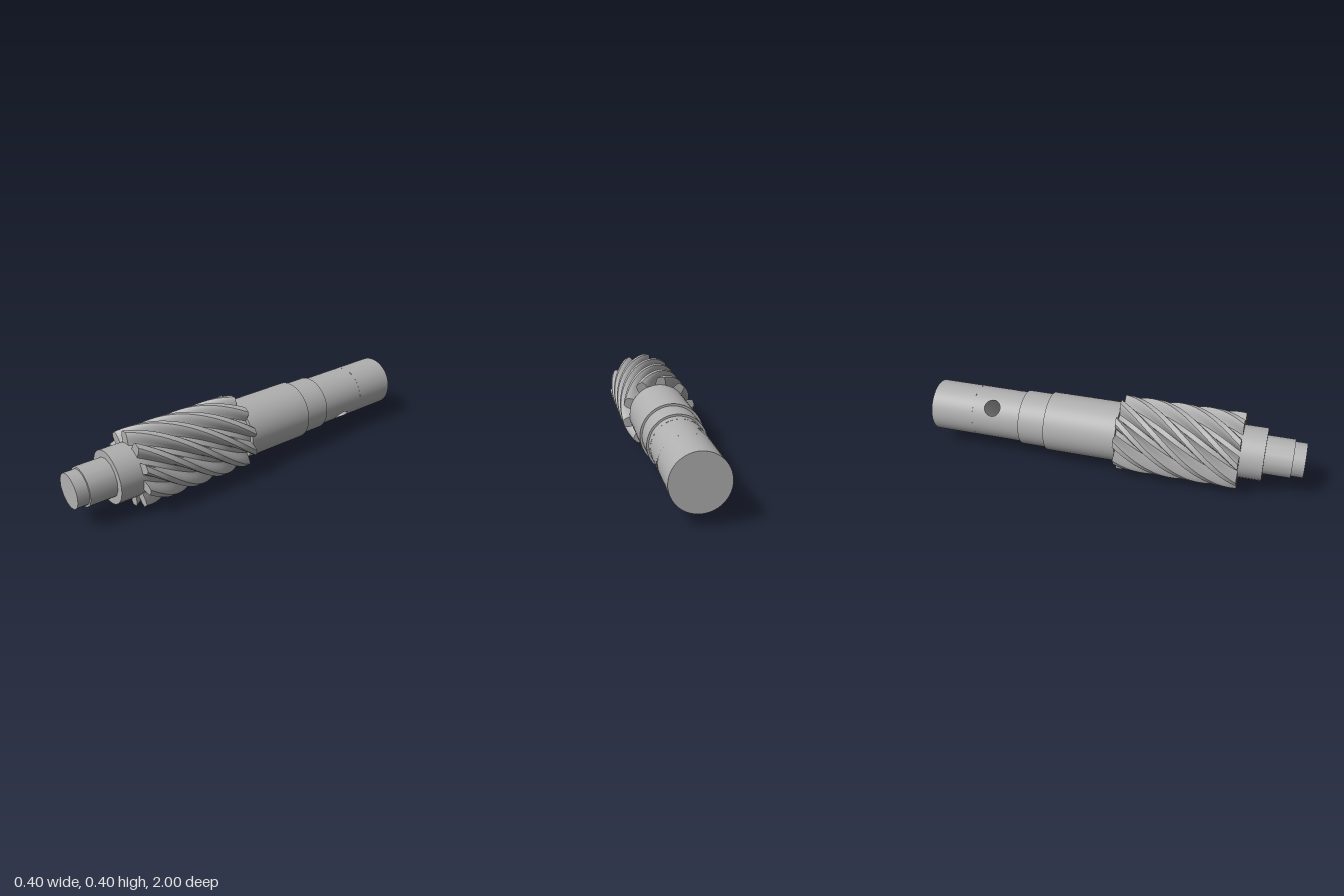
import * as THREE from 'three';
import { toCreasedNormals } from 'three/addons/utils/BufferGeometryUtils.js';

const AXIS_Y = 0.198;
const steel = new THREE.MeshStandardMaterial({ color: 0xb0b0b0, side: THREE.DoubleSide });
steel.name = 'steel grey';

// Straight round section of the shaft between two z positions
function section(name, radius, zFront, zBack, sides = 64, open = false) {
  const geo = new THREE.CylinderGeometry(radius, radius, zFront - zBack, sides, 1, open);
  geo.rotateX(Math.PI / 2);
  geo.translate(0, 0, (zFront + zBack) / 2);
  const mesh = new THREE.Mesh(geo, steel);
  mesh.name = name;
  return mesh;
}

// Helical gear: tooth outline extruded along z, then twisted
function helicalGear(zFront, zBack) {
  const teeth = 10, lead = 1.55, first = THREE.MathUtils.degToRad(26);
  // half tooth: [radius, half angle], root to tip
  const half = [[0.137, 0.21], [0.143, 0.19], [0.155, 0.175], [0.168, 0.16], [0.18, 0.14], [0.19, 0.115], [0.198, 0.08]];
  const tooth = [
    [0.136, -Math.PI / teeth],
    ...half.map(([r, a]) => [r, -a]),
    [0.198, 0],
    ...half.slice().reverse(),
  ];
  const points = [];
  for (let i = 0; i < teeth; i++) {
    const mid = first + (i * 2 * Math.PI) / teeth;
    for (const [r, a] of tooth) points.push(new THREE.Vector2(r * Math.cos(mid + a), r * Math.sin(mid + a)));
  }
  const depth = zFront - zBack;
  const geo = new THREE.ExtrudeGeometry(new THREE.Shape(points), { depth, steps: 44, bevelEnabled: false });
  const pos = geo.attributes.position;
  const v = new THREE.Vector3(), zAxis = new THREE.Vector3(0, 0, 1);
  for (let i = 0; i < pos.count; i++) {
    v.fromBufferAttribute(pos, i);
    v.applyAxisAngle(zAxis, ((v.z - depth) / lead) * 2 * Math.PI);
    pos.setXYZ(i, v.x, v.y, v.z + zBack);
  }
  const mesh = new THREE.Mesh(toCreasedNormals(geo, 0.6), steel);
  mesh.name = 'helicalGear';
  return mesh;
}

// Half of a cylinder wall (facing +y) with a round hole of radius h through it
function drilledHalf(R, h, halfLength) {
  const perSide = 16, rings = 14, around = perSide * 4;
  const pos = [], nor = [], idx = [];
  for (let t = 0; t < around; t++) {
    const side = Math.floor(t / perSide), f = (t % perSide) / perSide * 2 - 1;
    const [p, q] = [[1, f], [-f, 1], [-1, -f], [f, -1]][side];
    const a = Math.atan2(q, p);
    const holeAngle = Math.asin((h * Math.cos(a)) / R), holeZ = h * Math.sin(a);
    for (let s = 0; s <= rings; s++) {
      const k = s / rings;
      const theta = THREE.MathUtils.lerp(holeAngle, (p * Math.PI) / 2, k);
      pos.push(R * Math.sin(theta), R * Math.cos(theta), THREE.MathUtils.lerp(holeZ, q * halfLength, k));
      nor.push(Math.sin(theta), Math.cos(theta), 0);
      if (s < rings) {
        const i = t * (rings + 1) + s, j = ((t + 1) % around) * (rings + 1) + s;
        idx.push(i, j, i + 1, i + 1, j, j + 1);
      }
    }
  }
  const geo = new THREE.BufferGeometry();
  geo.setAttribute('position', new THREE.Float32BufferAttribute(pos, 3));
  geo.setAttribute('normal', new THREE.Float32BufferAttribute(nor, 3));
  geo.setIndex(idx);
  return geo;
}

// Shaft section with a cross hole drilled straight through
function drilledSection(R, h, z, halfLength) {
  const group = new THREE.Group();
  group.name = 'drilledSection';
  const wall = drilledHalf(R, h, halfLength);
  for (const turn of [0, Math.PI]) {
    const mesh = new THREE.Mesh(wall, steel);
    mesh.name = 'drilledWall';
    mesh.rotation.z = turn;
    group.add(mesh);
  }
  // bore whose ends follow the curve of the shaft
  const bore = new THREE.CylinderGeometry(h, h, 1, 48, 1, true);
  const p = bore.attributes.position;
  for (let i = 0; i < p.count; i++) p.setY(i, Math.sign(p.getY(i)) * Math.sqrt(R * R - p.getX(i) ** 2));
  const boreMesh = new THREE.Mesh(bore, steel);
  boreMesh.name = 'crossHole';
  group.add(boreMesh);
  group.rotation.z = THREE.MathUtils.degToRad(47);
  group.position.z = z;
  return group;
}

export function createModel() {
  const model = new THREE.Group();
  model.name = 'gearShaft';

  // front journals and gear
  model.add(section('frontTip', 0.091, 1, 0.94, 14));
  model.add(section('frontJournal', 0.102, 0.94, 0.8, 14));
  model.add(section('frontHub', 0.138, 0.8, 0.68, 28));
  model.add(helicalGear(0.68, 0.04));

  // stepped rear shaft
  model.add(section('rearShoulder', 0.158, 0.04, -0.35));
  model.add(section('rearCollar', 0.147, -0.35, -0.495));

  // drilled rear end
  const R = 0.137, holeZ = -0.652, halfLength = 0.11;
  model.add(section('rearShaftInner', R, -0.495, holeZ + halfLength, 64, true));
  model.add(drilledSection(R, 0.044, holeZ, halfLength));
  model.add(section('rearShaftOuter', R, holeZ - halfLength, -1, 64, true));
  const cap = new THREE.Mesh(new THREE.CircleGeometry(R, 64), steel);
  cap.name = 'rearEndFace';
  cap.rotation.y = Math.PI;
  cap.position.z = -1;
  model.add(cap);

  for (const part of model.children) part.position.y = AXIS_Y;
  return model;
}
